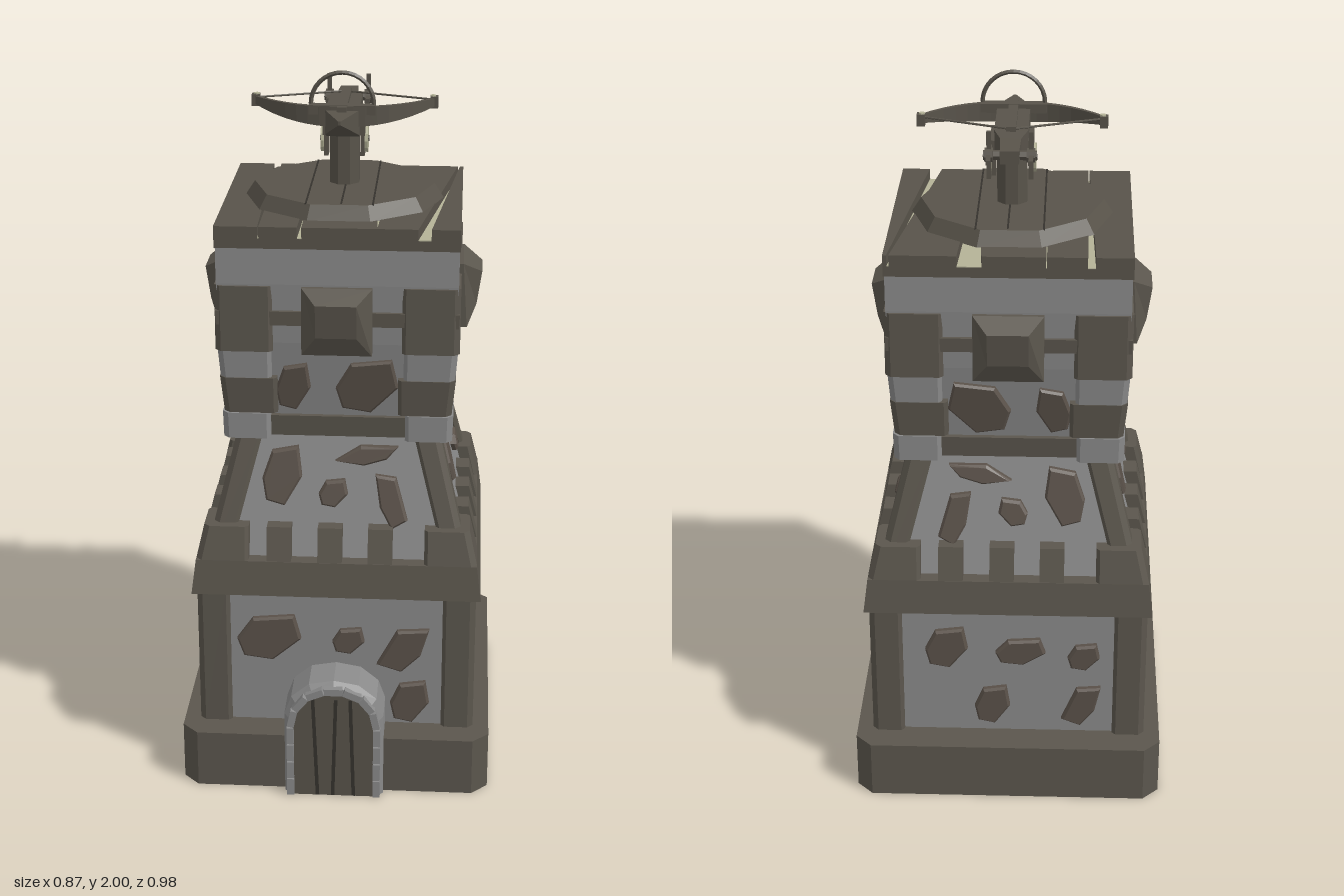
import * as THREE from 'three';

const paint = (name, color) => Object.assign(new THREE.MeshStandardMaterial({ color }), { name });
const M = {
  stone: paint('grey stone', 0x8a8a8a),
  trim: paint('dark stone', 0x5b564d),
  cobble: paint('brown cobble', 0x5a5149),
  wood: paint('dark wood', 0x58534a),
  seam: paint('seam', 0x35322d),
  pale: paint('pale wood', 0xb4b297),
};
const V = (x, y, z) => new THREE.Vector3(x, y, z);
const lerp = THREE.MathUtils.lerp;

function add(parent, name, geo, mat, x = 0, y = 0, z = 0) {
  const flat = geo.index ? geo.toNonIndexed() : geo;
  flat.computeVertexNormals();
  const mesh = new THREE.Mesh(flat, mat);
  mesh.name = name;
  mesh.position.set(x, y, z);
  parent.add(mesh);
  return mesh;
}

// Skin over convex loops that run counter-clockwise seen from the far end
function loft(loops, caps = true) {
  const p = [];
  const tri = (...v) => v.forEach((q) => p.push(q.x, q.y, q.z));
  for (let k = 0; k + 1 < loops.length; k++) {
    const lo = loops[k], hi = loops[k + 1], n = lo.length;
    for (let i = 0; i < n; i++) {
      const j = (i + 1) % n;
      tri(lo[i], lo[j], hi[j]);
      tri(lo[i], hi[j], hi[i]);
    }
  }
  if (caps) {
    const a = loops[0], b = loops[loops.length - 1];
    for (let i = 1; i + 1 < a.length; i++) {
      tri(a[0], a[i + 1], a[i]);
      tri(b[0], b[i], b[i + 1]);
    }
  }
  const g = new THREE.BufferGeometry();
  g.setAttribute('position', new THREE.Float32BufferAttribute(p, 3));
  return g;
}

// Horizontal rectangle, optionally with cut corners
function ring(y, h, d = h, c = 0) {
  if (!c) return [V(-h, y, d), V(h, y, d), V(h, y, -d), V(-h, y, -d)];
  return [V(c - h, y, d), V(h - c, y, d), V(h, y, d - c), V(h, y, c - d),
    V(h - c, y, -d), V(c - h, y, -d), V(-h, y, c - d), V(-h, y, d - c)];
}
// Rectangle facing +z, leaning when its top and bottom depths differ
const panel = (z, h, y0, y1, zTop = z) => [V(-h, y0, z), V(h, y0, z), V(h, y1, zTop), V(-h, y1, zTop)];

// Half-width of the wall at each height
const PROFILE = [[0.165, 0.375], [0.6, 0.375], [0.68, 0.352], [1.02, 0.262],
  [1.08, 0.275], [1.3, 0.31], [1.47, 0.325], [1.57, 0.325]];
function wallAt(y) {
  const i = Math.max(1, PROFILE.findIndex((q) => q[0] >= y));
  const [a, b] = [PROFILE[i - 1], PROFILE[i]];
  return lerp(a[1], b[1], (y - a[0]) / (b[0] - a[0]));
}

// Cobble outlines, and their places: across, up, width, height, outline
const OUTLINES = [
  [[-0.5, -0.05], [-0.25, 0.42], [0.4, 0.5], [0.5, 0], [0.05, -0.5], [-0.4, -0.42]],
  [[-0.5, -0.35], [-0.1, 0.45], [0.5, 0.5], [0.33, -0.1], [-0.05, -0.5]],
];
const FRONT = [[-0.19, 0.44, 0.18, 0.14, 0], [0.035, 0.435, 0.09, 0.08, 0], [0.19, 0.41, 0.145, 0.135, 1],
  [0.21, 0.245, 0.11, 0.13, 0], [-0.155, 0.905, 0.11, 0.16, 0], [0.08, 0.965, 0.17, 0.055, 1],
  [-0.012, 0.86, 0.08, 0.075, 0], [0.15, 0.84, -0.09, 0.145, 1], [-0.122, 1.17, 0.095, 0.14, 0],
  [0.08, 1.175, 0.17, 0.16, 0]];
const SIDE = [[-0.175, 0.455, 0.12, 0.13, 0], [0.035, 0.445, 0.14, 0.085, 0], [0.215, 0.43, 0.09, 0.085, 0],
  [-0.045, 0.263, 0.1, 0.125, 0], [0.21, 0.263, 0.11, 0.13, 1], [-0.135, 0.91, 0.105, 0.15, 0],
  [0.07, 0.93, 0.13, 0.095, 1], [0.14, 0.845, 0.085, 0.055, 0], [-0.093, 1.17, 0.095, 0.135, 0],
  [0.125, 1.135, 0.09, 0.08, 0]];
// The back repeats the side low down and mirrors the front above
const BACK = [...SIDE.slice(0, 5), ...FRONT.slice(4).map(([u, y, w, h, k]) => [-u, y, -w, h, k])];

function cobble([u, y, w, h, kind]) {
  const shape = new THREE.Shape(OUTLINES[kind].map(([a, b]) =>
    new THREE.Vector2(u + a * (w - 0.012 * Math.sign(w)), y + b * (h - 0.012))));
  const g = new THREE.ExtrudeGeometry(shape,
    { depth: 0.012, bevelThickness: 0.007, bevelSize: 0.006, bevelSegments: 1 });
  const p = g.attributes.position;
  for (let i = 0; i < p.count; i++) p.setZ(i, p.getZ(i) + wallAt(p.getY(i)));
  return g;
}

function buildTower() {
  const tower = new THREE.Group();
  tower.name = 'tower';
  tower.position.z = -0.022;
  // Plinth with a hollow underside; its lid is the ceiling of the hollow
  add(tower, 'plinth', loft([ring(0, 0.437, 0.468, 0.045), ring(0.17, 0.437, 0.468, 0.045)], false), M.trim);
  add(tower, 'plinthLid', loft([ring(0.16, 0.434, 0.465, 0.045), ring(0.17, 0.437, 0.468, 0.045)]), M.trim);
  add(tower, 'hollow', loft([ring(0.16, 0.37, 0.4, 0.02), ring(0, 0.385, 0.415, 0.03),
    ring(0, 0.437, 0.468, 0.045)], false), M.stone);
  // Walls and belts
  add(tower, 'wall', loft(PROFILE.map(([y, h]) => ring(y, h))), M.stone);
  add(tower, 'lowerBelt', loft([ring(0.58, 0.405), ring(0.68, 0.392)]), M.trim);
  add(tower, 'middleBelt', loft([ring(1.02, 0.285), ring(1.08, 0.29)]), M.trim);
  add(tower, 'upperBelt', loft([ring(1.355, 0.327), ring(1.395, 0.329)]), M.trim);

  // Corner pieces: name, bottom, top, outer low/high, inner low/high, material
  const corners = [
    ['pillar', 0.17, 0.58, 0.392, 0.392, 0.3, 0.3, M.trim],
    ['cornerMerlon', 0.68, 0.775, 0.392, 0.37, 0.245, 0.245, M.trim],
    ['slopingPost', 0.68, 1.02, 0.368, 0.283, 0.3, 0.21, M.trim],
    ['lightQuoin', 1.02, 1.095, 0.315, 0.317, 0.185, 0.185, M.stone],
    ['darkQuoin', 1.095, 1.2, 0.312, 0.322, 0.165, 0.165, M.trim],
    ['lightQuoin', 1.2, 1.28, 0.32, 0.326, 0.18, 0.18, M.stone],
    ['darkQuoin', 1.28, 1.465, 0.331, 0.331, 0.175, 0.175, M.trim],
  ];
  const corner = (y, o, i, c = 0.016, b = 0.01) => [V(i, y, o - b), V(i + b, y, o), V(o - c, y, o),
    V(o, y, o - c), V(o, y, i + b), V(o - b, y, i), V(i, y, i)];
  for (let k = 0; k < 4; k++) {
    const face = new THREE.Group();
    face.name = ['front', 'left', 'back', 'right'][k] + 'Face';
    face.rotation.y = k * Math.PI / 2;
    tower.add(face);
    for (const [name, y0, y1, o0, o1, i0, i1, mat] of corners)
      add(face, name, loft([corner(y0, o0, i0), corner(y1, o1, i1)]), mat);
    for (const u of [-0.16, -0.018, 0.122])
      add(face, 'merlon', loft([[0.68, 0.39], [0.775, 0.366]].map(([y, z]) =>
        [V(u - 0.034, y, z), V(u + 0.034, y, z), V(u + 0.034, y, 0.3), V(u - 0.034, y, 0.3)])), M.trim);
    add(face, 'boss', loft([panel(0.28, 0.095, 1.28, 1.465), panel(0.348, 0.095, 1.28, 1.465, 0.336),
      panel(0.374, 0.055, 1.337, 1.432, 0.388)]), M.trim);
    for (const s of [FRONT, SIDE, BACK, SIDE][k]) add(face, 'cobble', cobble(s), M.cobble);
  }

  // Deck: warped planks over a pale floor; back edge then front edge
  add(tower, 'deckRim', loft([ring(1.57, 0.328), ring(1.598, 0.328)]), M.wood);
  add(tower, 'deckFloor', loft([ring(1.595, 0.326), ring(1.6, 0.326)]), M.pale);
  const planks = [[-0.328, -0.228, -0.328, -0.211], [-0.207, -0.1, -0.208, -0.106],
    [-0.098, 0.07, -0.094, 0.108], [0.135, 0.312, 0.106, 0.215], [0.318, 0.328, 0.25, 0.328]];
  for (const [b0, b1, f0, f1] of planks)
    add(tower, 'deckPlank', loft([1.597, 1.63].map((y) =>
      [V(f0, y, 0.329), V(f1, y, 0.329), V(b1, y, -0.329), V(b0, y, -0.329)])), M.wood);
  add(tower, 'turntable', new THREE.CylinderGeometry(0.25, 0.276, 0.04, 10).rotateY(Math.PI / 2),
    M.wood, 0, 1.648);
  for (const x of [-0.09, 0.005, 0.09])
    add(tower, 'turntableSeam', new THREE.BoxGeometry(0.005, 0.004, 0.46), M.seam, x, 1.667);
  return tower;
}

function buildDoor() {
  const door = new THREE.Group();
  door.name = 'door';
  const half = [[1, 0], [1, 0.7], [0.86, 0.85], [0.5, 0.965], [0, 1]];
  const outline = (w, h) => [...half, ...half.slice(0, 4).reverse().map(([x, y]) => [-x, y])]
    .map(([x, y]) => new THREE.Vector2(x * w, y * h));
  const slice = (w, h, z) => outline(w, h).map((p) => V(p.x, p.y, z));
  add(door, 'porch', loft([slice(0.14, 0.36, 0.35), slice(0.14, 0.36, 0.46), slice(0.125, 0.345, 0.475)]), M.stone);
  add(door, 'doorLeaf', loft([slice(0.114, 0.333, 0.47), slice(0.114, 0.333, 0.481)]), M.wood);
  for (const [x, tilt] of [[-0.052, 0.04], [0.002, -0.03], [0.052, 0.03]])
    add(door, 'doorSeam', new THREE.BoxGeometry(0.01, 0.31, 0.004), M.seam, x, 0.156, 0.481).rotation.z = tilt;
  // Arch stones following the opening
  const pts = new THREE.Path(outline(0.122, 0.343)).getSpacedPoints(15);
  for (let i = 0; i < 15; i++) {
    const d = pts[i + 1].clone().sub(pts[i]);
    const m = pts[i].clone().add(pts[i + 1]).multiplyScalar(0.5);
    add(door, 'archStone', new THREE.BoxGeometry(d.length() - 0.004, 0.02, 0.025),
      M.stone, m.x, m.y, 0.4775).rotation.z = Math.atan2(d.y, d.x);
  }
  return door;
}

function buildCrossbow() {
  const bow = new THREE.Group();
  bow.name = 'mountedCrossbow';
  const rod = (name, a, b, r, mat, sides = 6) => {
    const m = add(bow, name, new THREE.CylinderGeometry(r, r, a.distanceTo(b), sides), mat);
    m.position.copy(a).add(b).multiplyScalar(0.5);
    m.quaternion.setFromUnitVectors(V(0, 1, 0), b.clone().sub(a).normalize());
  };
  const box = (name, w, h, d, x, y, z) =>
    add(bow, name, new THREE.BoxGeometry(w, h, d), M.wood, x, y, z);
  add(bow, 'post', new THREE.CylinderGeometry(0.044, 0.044, 0.18, 8).rotateY(Math.PI / 8), M.wood, 0, 1.75, -0.032);
  // Stock with a pointed nose
  add(bow, 'stock', loft([[-0.26, 0.025, 1.85, 1.885], [-0.17, 0.028, 1.84, 1.89], [-0.12, 0.045, 1.825, 1.895],
    [0.035, 0.045, 1.81, 1.895], [0.09, 0.046, 1.828, 1.895], [0.2, 0.003, 1.88, 1.89]]
    .map((s) => panel(...s))), M.wood);
  box('boltRail', 0.026, 0.014, 0.24, 0, 1.9, -0.01);
  box('crossbar', 0.18, 0.025, 0.03, 0, 1.895, 0.075);
  add(bow, 'sightHoop', new THREE.TorusGeometry(0.085, 0.006, 4, 16, Math.PI), M.wood, 0, 1.909, 0.075);
  // Curved limbs
  const limbs = [];
  for (let i = -8; i <= 8; i++) {
    const t = i / 8, x = 0.25 * t, z = 0.088 - 0.122 * Math.abs(t) ** 2.4, y = 1.85 + 0.034 * t * t;
    limbs.push([V(x, y, z - 0.007), V(x, 1.905, z - 0.007), V(x, 1.905, z + 0.007), V(x, y, z + 0.007)]);
  }
  add(bow, 'limbs', loft(limbs), M.wood);
  for (const s of [-1, 1]) {
    box('limbTip', 0.022, 0.032, 0.024, s * 0.245, 1.893, -0.034);
    add(bow, 'tipPin', new THREE.CylinderGeometry(0.009, 0.009, 0.005, 6), M.pale, s * 0.242, 1.91, -0.034);
    rod('string', V(s * 0.24, 1.9, -0.034), V(0, 1.9, -0.125), 0.003, M.wood);
    // Pivot cheeks with pale discs
    box('cheek', 0.02, 0.05, 0.13, s * 0.048, 1.835, -0.04);
    box('cheekLeg', 0.012, 0.09, 0.05, s * 0.05, 1.79, -0.032);
    rod('pivotDisc', V(s * 0.056, 1.79, -0.032), V(s * 0.065, 1.79, -0.032), 0.039, M.pale, 12);
    rod('pivotBolt', V(s * 0.06, 1.79, -0.032), V(s * 0.068, 1.79, -0.032), 0.008, M.seam);
    // Winch handles
    box('winchSpoke', 0.012, 0.128, 0.012, s * 0.055, 1.863, -0.225);
    box('winchSpoke', 0.012, 0.012, 0.128, s * 0.055, 1.863, -0.225);
    rod('winchHub', V(s * 0.044, 1.863, -0.225), V(s * 0.066, 1.863, -0.225), 0.02, M.wood, 8);
  }
  rod('winchAxle', V(-0.07, 1.863, -0.225), V(0.07, 1.863, -0.225), 0.013, M.wood);
  return bow;
}

export function createModel() {
  const model = new THREE.Group();
  model.name = 'watchtower';
  model.add(buildTower(), buildDoor(), buildCrossbow());
  return model;
}
